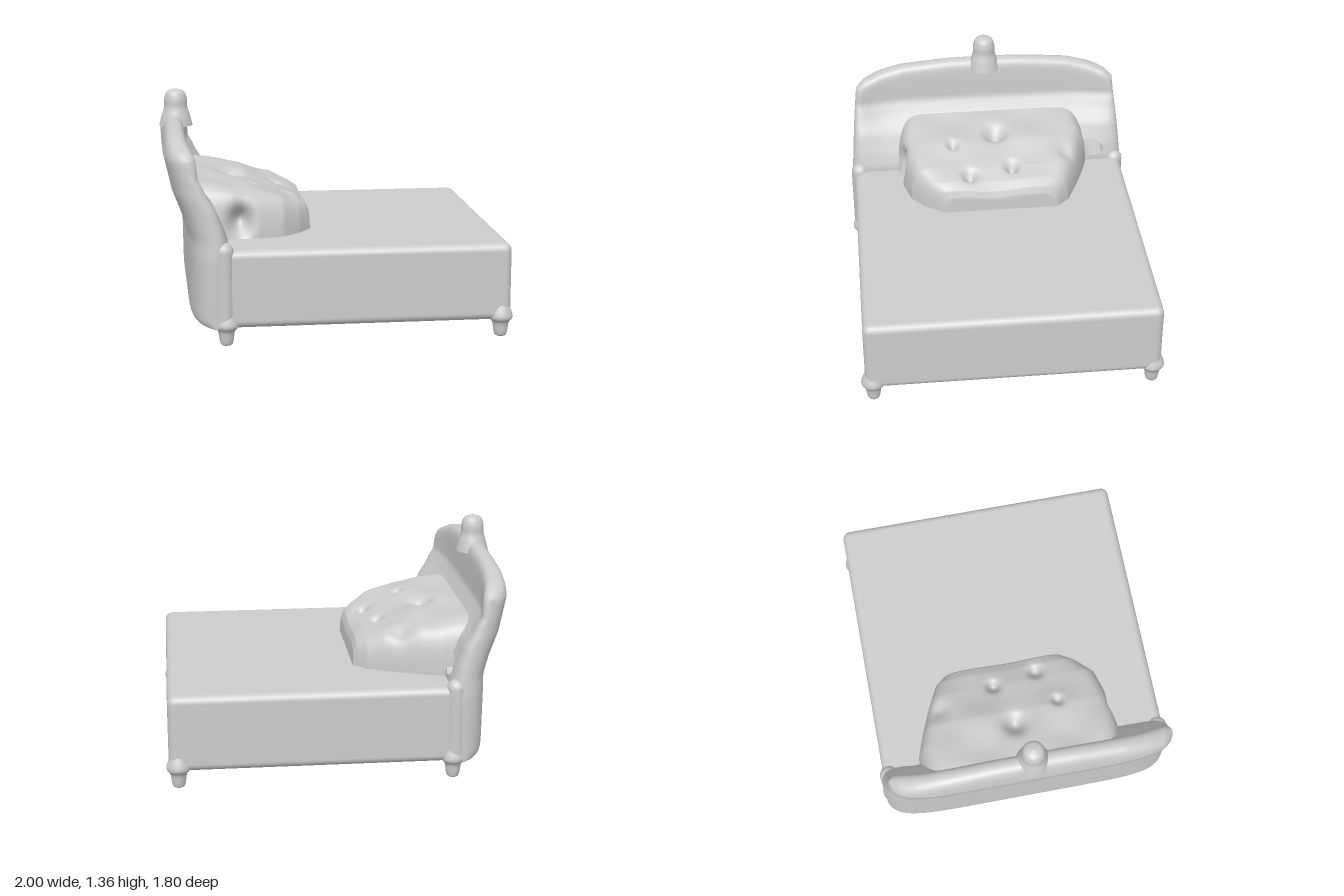
import * as THREE from 'three';
import { mergeVertices } from 'three/addons/utils/BufferGeometryUtils.js';
import { RoundedBoxGeometry } from 'three/addons/geometries/RoundedBoxGeometry.js';

const material = new THREE.MeshStandardMaterial({ color: 0xcccccc, side: THREE.DoubleSide });

// Smooth interpolation through [key, value] pairs
function curve(keys, x) {
  if (x <= keys[0][0]) return keys[0][1];
  for (let i = 1; i < keys.length; i++) {
    const [x0, y0] = keys[i - 1], [x1, y1] = keys[i];
    if (x <= x1) return y0 + (y1 - y0) * (x - x0) / (x1 - x0);
  }
  return keys[keys.length - 1][1];
}

function buildGeometry(positions, indices) {
  let geometry = new THREE.BufferGeometry();
  geometry.setAttribute('position', new THREE.Float32BufferAttribute(positions, 3));
  geometry.setIndex(indices);
  geometry = mergeVertices(geometry, 1e-4);
  geometry.computeVertexNormals();
  return geometry;
}

function addMesh(parent, name, geometry, x = 0, y = 0, z = 0) {
  const mesh = new THREE.Mesh(geometry, material);
  mesh.name = name;
  mesh.position.set(x, y, z);
  parent.add(mesh);
  return mesh;
}

// Headboard rules: faces by height, top edge by width, width by height
const FRONT = [[0.1, -0.64], [0.58, -0.64], [0.66, -0.67], [0.78, -0.73], [0.87, -0.8], [0.95, -0.85], [1.2, -0.865]];
const BACK = [[0.1, -0.86], [0.6, -0.865], [0.72, -0.9], [0.85, -0.95], [1.05, -0.995], [1.2, -0.975]];
const TOP = [[0, 1.205], [0.25, 1.2], [0.55, 1.175], [0.7, 1.14], [0.8, 1.1], [0.85, 1.06]];
const WIDTH = [[0.1, 0.88], [0.5, 0.885], [0.8, 0.86], [1.07, 0.83]];

// Point on the headboard; face is 1 for the front, -1 for the back
function headboardPoint(s, v, face) {
  const y = 0.1 + v * (curve(TOP, Math.abs(s) * 0.85) - 0.1);
  const wing = 0.07 * Math.abs(s) ** 7;
  const front = curve(FRONT, y) + wing * Math.min(1, Math.max(0, (y - 0.6) / 0.3));
  const back = curve(BACK, y) + wing;
  const rounding = Math.sqrt(Math.max(0, (1 - Math.abs(s) ** 24) * (1 - Math.abs(2 * v - 1) ** 24)));
  return [(front + back) / 2 + face * rounding * (front - back) / 2, y, s * curve(WIDTH, y)];
}

function headboardGeometry() {
  const N = 90, M = 70, positions = [], indices = [];
  const hole = { s: -0.785, v: 0.51, rs: 0.085, rv: 0.05 };
  for (const face of [1, -1]) {
    const base = positions.length / 3, inside = [];
    for (let i = 0; i <= N; i++) for (let j = 0; j <= M; j++) {
      let s = Math.sin(Math.PI * (i / N - 0.5));
      let v = (1 + Math.sin(Math.PI * (j / M - 0.5))) / 2;
      // Snap nearby vertices to the rim of the side opening
      const ds = (s - hole.s) / hole.rs, dv = (v - hole.v) / hole.rv, r = Math.hypot(ds, dv);
      if (r > 0.75 && r < 1.25) {
        s = hole.s + ds / r * hole.rs;
        v = hole.v + dv / r * hole.rv;
      }
      inside.push(r < 1.25);
      positions.push(...headboardPoint(s, v, face));
    }
    const tri = (a, b, c) => {
      if (inside[a] && inside[b] && inside[c]) return;
      if (face > 0) indices.push(base + a, base + b, base + c);
      else indices.push(base + a, base + c, base + b);
    };
    for (let i = 0; i < N; i++) for (let j = 0; j < M; j++) {
      const a = i * (M + 1) + j, b = a + M + 1;
      tri(a, a + 1, b);
      tri(b, a + 1, b + 1);
    }
  }
  // Wall of the side opening
  const base = positions.length / 3, K = 32;
  for (let k = 0; k <= K; k++) for (const face of [1, -1]) {
    const a = k / K * Math.PI * 2;
    positions.push(...headboardPoint(hole.s + Math.cos(a) * hole.rs, hole.v + Math.sin(a) * hole.rv, face));
  }
  for (let k = 0; k < K; k++) {
    const a = base + 2 * k;
    indices.push(a, a + 2, a + 1, a + 1, a + 2, a + 3);
  }
  return buildGeometry(positions, indices);
}

// Pillow rules along x: height and the extent on each side
const HEIGHT = [[-0.83, 0.875], [-0.7, 0.855], [-0.6, 0.845], [-0.5, 0.835], [-0.4, 0.8], [-0.3, 0.77],
  [-0.2, 0.725], [-0.15, 0.69], [-0.13, 0.64], [-0.125, 0.53]];
const RIGHT = [[-0.83, 0.64], [-0.62, 0.64], [-0.5, 0.6], [-0.35, 0.54], [-0.2, 0.47], [-0.125, 0.39]];
const LEFT = [[-0.83, 0.58], [-0.6, 0.59], [-0.45, 0.56], [-0.3, 0.52], [-0.2, 0.43], [-0.125, 0.32]];
// Dimples: x, z, radius, depth
const DIMPLES = [[-0.58, -0.04, 0.06, 0.08], [-0.3, -0.12, 0.035, 0.07], [-0.48, 0.24, 0.03, 0.05],
  [-0.25, 0.15, 0.04, 0.06], [-0.4, -0.48, 0.06, 0.04], [-0.35, 0, 0.15, 0.02]];

function pillowGeometry() {
  const N = 70, M = 110, positions = [], indices = [];
  for (let i = 0; i <= N; i++) for (let j = 0; j <= M; j++) {
    const x = -0.83 + 0.705 * Math.sin(Math.PI / 2 * i / N);
    const w = Math.sin(Math.PI * (j / M - 0.5));
    let z = w * curve(w < 0 ? RIGHT : LEFT, x);
    const edge = Math.max(0, 1 - Math.abs(w) ** 14) ** 0.45;
    let y = 0.53 + (curve(HEIGHT, x) - 0.53) * edge;
    for (const [dx, dz, r, depth] of DIMPLES) {
      y -= depth * edge * Math.exp(-((x - dx) ** 2 + (z - dz) ** 2) / (r * r));
    }
    y += 0.008 * edge * Math.sin(x * 17 + 1) * Math.cos(z * 13);
    // Hollow in the left side
    if (w > 0.8) z -= 0.11 * Math.exp(-(((x + 0.56) / 0.06) ** 2) - ((y - 0.65) / 0.08) ** 2);
    positions.push(x, Math.max(y, 0.53), z);
  }
  for (let i = 0; i < N; i++) for (let j = 0; j < M; j++) {
    const a = i * (M + 1) + j, b = a + M + 1;
    indices.push(a, a + 1, b, b, a + 1, b + 1);
  }
  return buildGeometry(positions, indices);
}

const lathe = (points) => new THREE.LatheGeometry(
  new THREE.SplineCurve(points.map(([r, y]) => new THREE.Vector2(r, y))).getPoints(24), 24);

export function createModel() {
  const bed = new THREE.Group();
  bed.name = 'bed';

  // Mattress and frame block
  addMesh(bed, 'mattressBase', new RoundedBoxGeometry(1.7, 0.45, 1.74, 5, 0.045), 0.13, 0.325, 0);

  addMesh(bed, 'headboard', headboardGeometry());
  addMesh(bed, 'pillows', pillowGeometry());

  // Rounded knob on the headboard crest
  addMesh(bed, 'finial', lathe([[0.1, 1.14], [0.085, 1.2], [0.07, 1.25], [0.068, 1.3], [0.05, 1.345], [0.001, 1.362]]), -0.905, 0, 0);

  // Corner feet, flaring into the frame
  const foot = lathe([[0.001, 0], [0.03, 0.003], [0.04, 0.03], [0.048, 0.08], [0.07, 0.12], [0.04, 0.2]]);
  for (const side of [1, -1]) {
    addMesh(bed, 'footEndLeg', foot, 0.925, 0, side * 0.825);
    addMesh(bed, 'headEndLeg', foot, -0.66, 0, side * 0.83);
    // Rounded post where the headboard meets the frame
    addMesh(bed, 'headboardPost', new THREE.CapsuleGeometry(0.055, 0.4, 8, 20), -0.67, 0.34, side * 0.835);
  }
  return bed;
}
